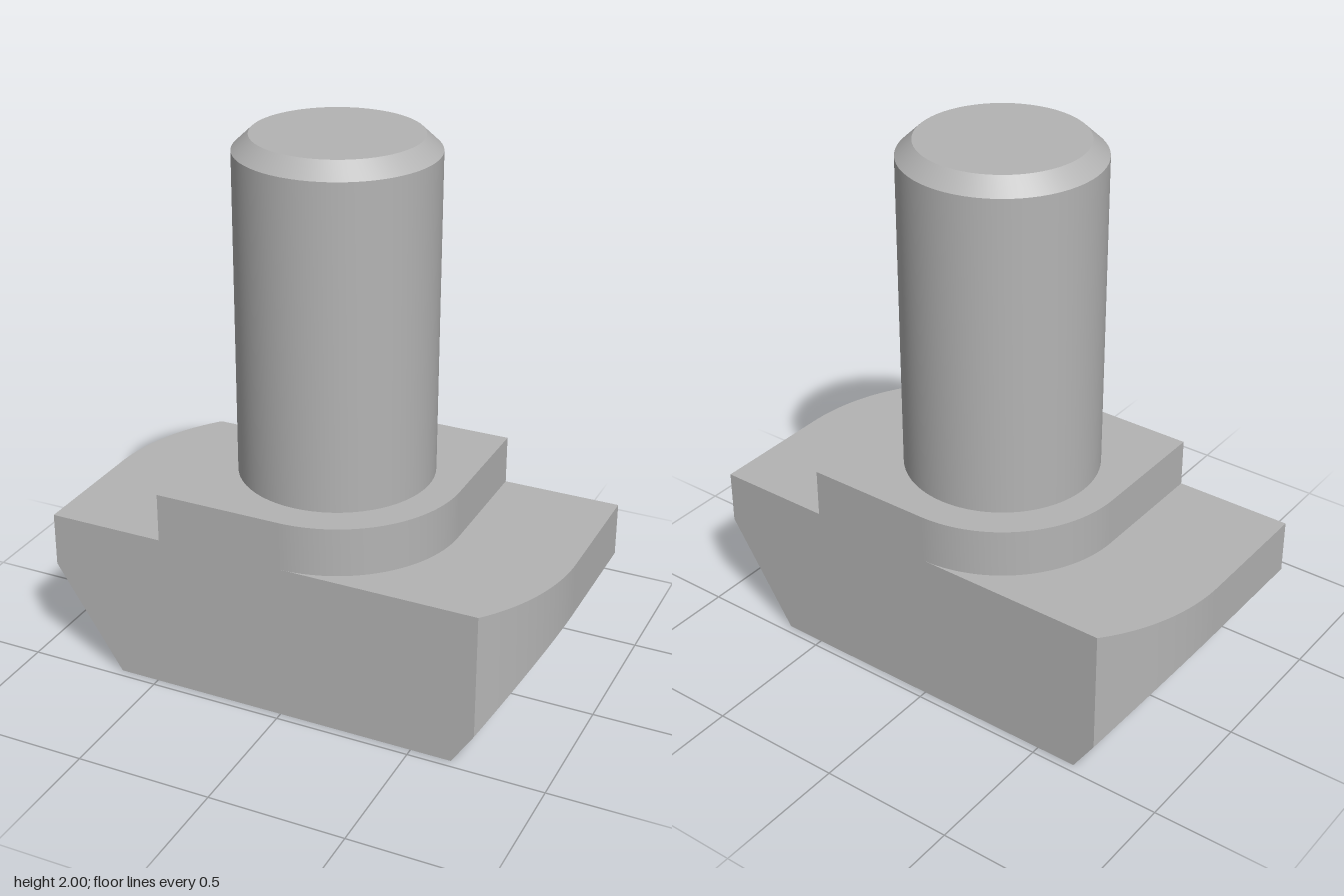
import * as THREE from 'three';
import { toCreasedNormals } from 'three/addons/utils/BufferGeometryUtils.js';

const HALF = 0.47;    // half depth of head and collar
const HEAD_TOP = 0.59;
const SHOULDER = 0.77;

// T-slot head: a bevelled bar with two diagonally opposite ends rounded in plan
function headGeometry() {
  const reach = 0.905, foot = 0.65, bevelTop = 0.39, radius = 0.719, steps = 20;
  const maxAngle = Math.asin(HALF / radius);
  const endX = a => reach - radius * (1 - Math.cos(Math.max(a, 0)));
  const bevelY = x => bevelTop * (x - foot) / (reach - foot);

  const sections = [];
  for (let i = -steps; i <= steps; i++) {
    const a = maxAngle * i / steps, z = radius * Math.sin(a);
    const r = endX(a), l = endX(-a);
    sections.push([
      [-l, HEAD_TOP, z], [-l, bevelY(l), z], [-foot, 0, z],
      [foot, 0, z], [r, bevelY(r), z], [r, HEAD_TOP, z],
    ]);
  }

  const pos = [];
  const tri = (...points) => points.forEach(p => pos.push(...p));
  const n = sections[0].length;
  for (let i = 0; i < sections.length - 1; i++) {
    const p = sections[i], q = sections[i + 1];
    for (let j = 0; j < n; j++) {
      const k = (j + 1) % n;
      tri(p[j], p[k], q[k]);
      tri(p[j], q[k], q[j]);
    }
  }
  // end caps
  const back = sections[0], front = sections[sections.length - 1];
  for (let j = 1; j < n - 1; j++) {
    tri(front[0], front[j], front[j + 1]);
    tri(back[0], back[j + 1], back[j]);
  }
  const geometry = new THREE.BufferGeometry();
  geometry.setAttribute('position', new THREE.Float32BufferAttribute(pos, 3));
  return toCreasedNormals(geometry, 0.3);
}

// Square collar with two diagonally opposite corners fully rounded
function collarGeometry() {
  const shape = new THREE.Shape();
  shape.moveTo(HALF, HALF);
  shape.lineTo(0, HALF);
  shape.absarc(0, 0, HALF, Math.PI / 2, Math.PI, false);
  shape.lineTo(-HALF, -HALF);
  shape.lineTo(0, -HALF);
  shape.absarc(0, 0, HALF, -Math.PI / 2, 0, false);
  shape.closePath();
  const geometry = new THREE.ExtrudeGeometry(shape, {
    depth: SHOULDER - HEAD_TOP, bevelEnabled: false, curveSegments: 24,
  });
  geometry.rotateX(-Math.PI / 2);
  geometry.translate(0, HEAD_TOP, 0);
  return toCreasedNormals(geometry, 0.3);
}

// Round shank with a chamfered tip
function shankGeometry() {
  const profile = [[0.353, SHOULDER], [0.353, 1.945], [0.295, 2], [0, 2]]
    .map(([r, y]) => new THREE.Vector2(r, y));
  return toCreasedNormals(new THREE.LatheGeometry(profile, 64), 0.3);
}

export function createModel() {
  const steel = new THREE.MeshStandardMaterial({ color: 0xb4b4b4 });
  steel.name = 'steel grey';

  const model = new THREE.Group();
  model.name = 'tSlotBolt';
  const parts = { head: headGeometry(), collar: collarGeometry(), shank: shankGeometry() };
  for (const [name, geometry] of Object.entries(parts)) {
    const mesh = new THREE.Mesh(geometry, steel);
    mesh.name = name;
    model.add(mesh);
  }
  return model;
}
